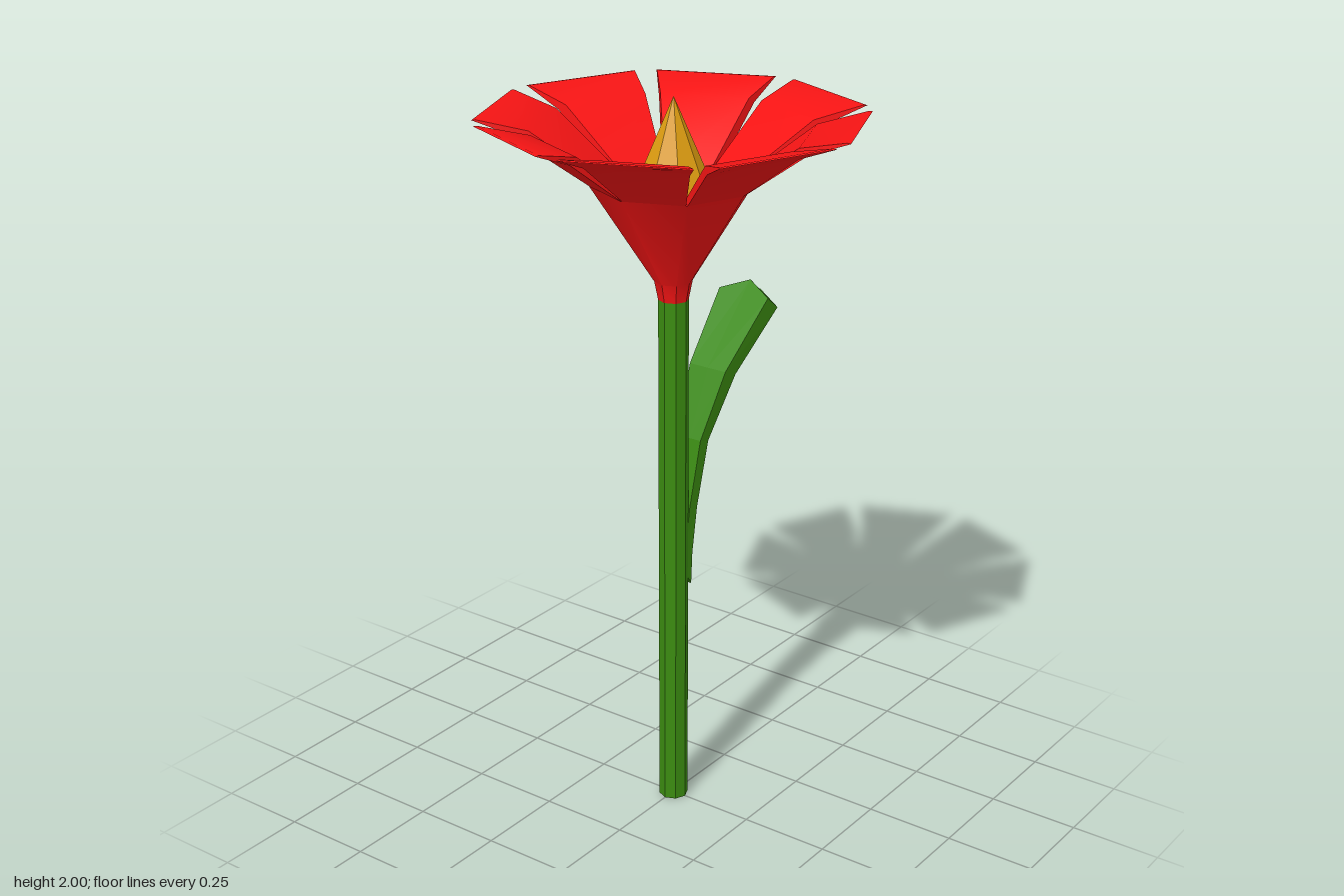
import * as THREE from 'three';
import { toCreasedNormals } from 'three/addons/utils/BufferGeometryUtils.js';

// Closed solid through a row of cross-section rings of equal point count
function loft(rings) {
  const n = rings[0].length, index = [];
  for (let k = 0; k < rings.length - 1; k++) {
    for (let i = 0; i < n; i++) {
      const j = (i + 1) % n, a = k * n, b = a + n;
      index.push(a + i, a + j, b + j, a + i, b + j, b + i);
    }
  }
  const end = (rings.length - 1) * n;
  for (let i = 1; i < n - 1; i++) {
    index.push(0, i + 1, i, end, end + i, end + i + 1);
  }
  const geo = new THREE.BufferGeometry();
  geo.setAttribute('position', new THREE.Float32BufferAttribute(rings.flat(2), 3));
  geo.setIndex(index);
  geo.computeVertexNormals();
  return geo;
}

function addMesh(parent, name, geo, mat) {
  const mesh = new THREE.Mesh(geo, mat);
  mesh.name = name;
  parent.add(mesh);
  return mesh;
}

export function createModel() {
  const model = new THREE.Group();
  model.name = 'flower';
  const green = new THREE.MeshStandardMaterial({ color: 0x3a8a10, flatShading: true });
  const red = new THREE.MeshStandardMaterial({ color: 0xf51414 });
  const yellow = new THREE.MeshStandardMaterial({ color: 0xdc9b10, flatShading: true });

  // Stem
  const stem = addMesh(model, 'stem', new THREE.CylinderGeometry(0.04, 0.04, 1.48, 8), green);
  stem.position.y = 0.74;

  // Leaf: [lower x, lower y, upper x, upper y, half width]
  const leafRings = [
    [0.04, 0.65, 0.02, 0.68, 0.03],
    [0.045, 0.74, 0.02, 0.8, 0.03],
    [0.063, 0.87, 0.03, 0.88, 0.032],
    [0.106, 1.05, 0.07, 1.06, 0.037],
    [0.2, 1.215, 0.153, 1.235, 0.058],
    [0.365, 1.362, 0.318, 1.4, 0.079],
  ].map(([lx, ly, ux, uy, w], i, all) => {
    const tip = i === all.length - 1 ? 0.032 : 0; // pointed middle of the end
    return [
      [lx, ly, w], [lx + tip, ly + tip * 0.9, 0], [lx, ly, -w],
      [ux, uy, -w], [ux + tip, uy + tip * 0.9, 0], [ux, uy, w],
    ];
  });
  addMesh(model, 'leaf', loft(leafRings), green);

  // Funnel: outer wall up, over the rim, inner wall down
  const funnelProfile = [
    [0.04, 1.47], [0.05, 1.52], [0.215, 1.78], [0.17, 1.78], [0.03, 1.56], [0, 1.56],
  ].map(([r, y]) => new THREE.Vector2(r, y));
  addMesh(model, 'funnel', toCreasedNormals(new THREE.LatheGeometry(funnelProfile, 8), 0.75), red);

  // Petals: [outer reach, outer y, inner reach, inner y, half gap to the neighbour]
  const c = Math.cos(Math.PI / 8), s = Math.sin(Math.PI / 8);
  const petalRings = [
    [0.215, 1.78, 0.17, 1.78, 0.002],
    [0.386, 1.905, 0.36, 1.92, 0.02],
    [0.5, 1.95, 0.49, 1.951, 0.03],
  ].map(([ro, yo, ri, yi, g]) => {
    const at = (r, y, side) => [r * c + g * s, y, side * (r * s - g * c)];
    return [at(ro, yo, 1), at(ro, yo, -1), at(ri, yi, -1), at(ri, yi, 1)];
  });
  const petalGeo = toCreasedNormals(loft(petalRings), 0.6);
  const petals = new THREE.Group();
  petals.name = 'petals';
  model.add(petals);
  for (let i = 0; i < 8; i++) {
    addMesh(petals, 'petal', petalGeo, red).rotation.y = (i + 0.5) * Math.PI / 4;
  }

  // Pistil
  const pistil = addMesh(model, 'pistil', new THREE.ConeGeometry(0.13, 0.3, 8), yellow);
  pistil.position.y = 1.85;

  return model;
}
